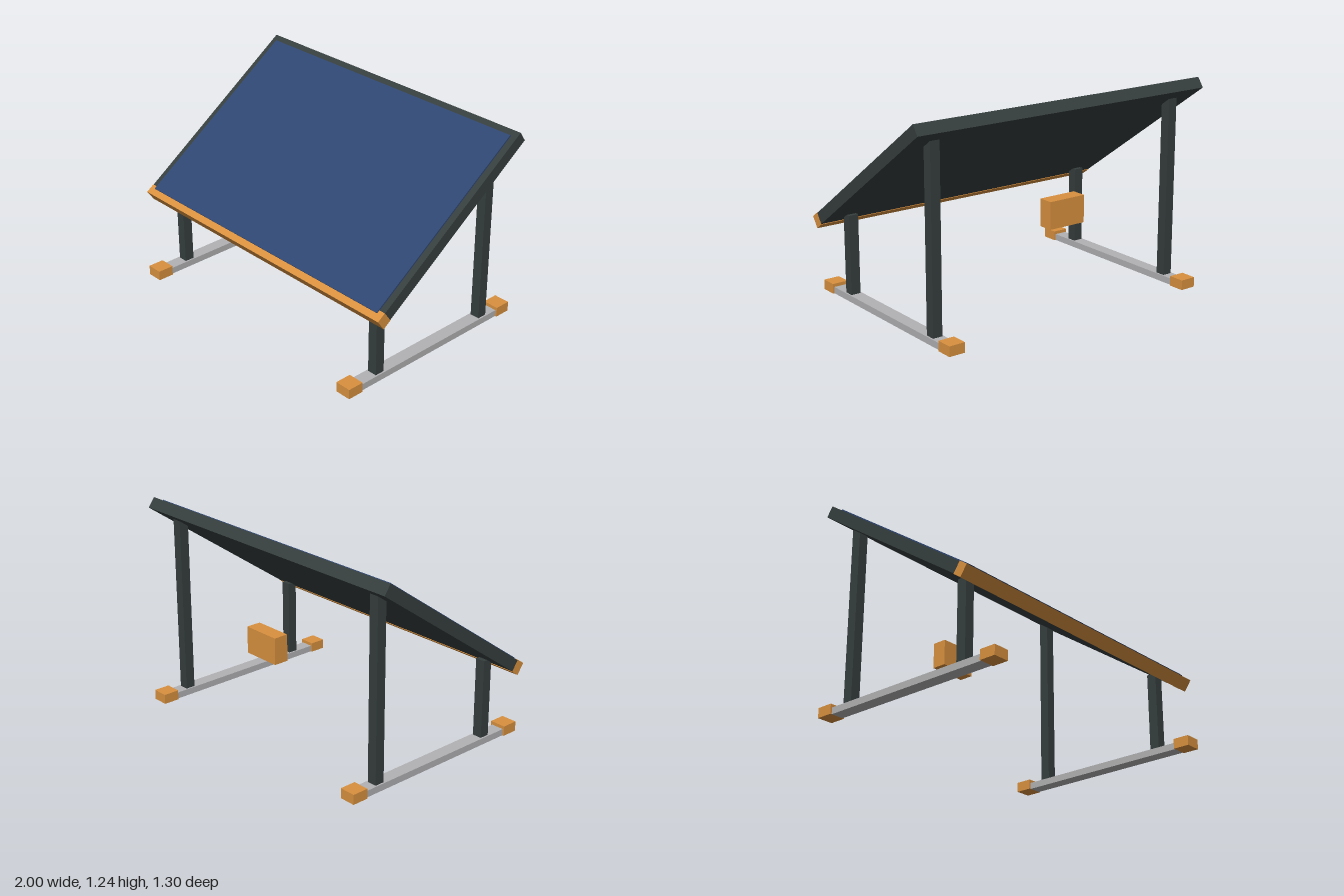
import * as THREE from 'three';

const material = (name, color) => {
  const m = new THREE.MeshStandardMaterial({ color });
  m.name = name;
  return m;
};

export function createModel() {
  const model = new THREE.Group();
  model.name = 'tiltedPanelStand';
  const dark = material('charcoal', 0x363e3e);
  const blue = material('panelBlue', 0x2f4672);
  const orange = material('orange', 0xd9913f);
  const grey = material('railGrey', 0xb2b2b4);

  const box = (parent, name, mat, size, pos) => {
    const mesh = new THREE.Mesh(new THREE.BoxGeometry(...size), mat);
    mesh.name = name;
    mesh.position.set(...pos);
    parent.add(mesh);
  };

  // Tilted panel: frame, glass and front trim, built flat and then leaned
  const panel = new THREE.Group();
  panel.name = 'tiltedPanel';
  panel.position.y = 0.84;
  panel.rotation.x = THREE.MathUtils.degToRad(35);
  model.add(panel);
  box(panel, 'panelFrame', dark, [2, 0.07, 1.24], [0, 0, -0.03]);
  box(panel, 'frontTrim', orange, [2, 0.076, 0.06], [0, 0, 0.62]);
  box(panel, 'panelSurface', blue, [1.92, 0.009, 1.22], [0, 0.0395, 0]);

  // Two mirrored side stands: ground rail, end feet, short and tall posts
  for (const side of [-1, 1]) {
    const stand = new THREE.Group();
    stand.name = side > 0 ? 'leftStand' : 'rightStand';
    stand.position.x = side * 0.84;
    model.add(stand);
    box(stand, 'groundRail', grey, [0.08, 0.04, 1.1], [0, 0.02, 0]);
    for (const end of [-1, 1]) {
      box(stand, end > 0 ? 'frontFoot' : 'rearFoot', orange, [0.1, 0.06, 0.1], [0, 0.03, end * 0.6]);
    }
    box(stand, 'frontPost', dark, [0.06, 0.48, 0.06], [0, 0.28, 0.4]);
    box(stand, 'rearPost', dark, [0.06, 1.09, 0.06], [0, 0.585, -0.44]);
  }

  // Control box between the rear posts
  box(model, 'controlBox', orange, [0.24, 0.16, 0.09], [0, 0.6, -0.485]);

  return model;
}
